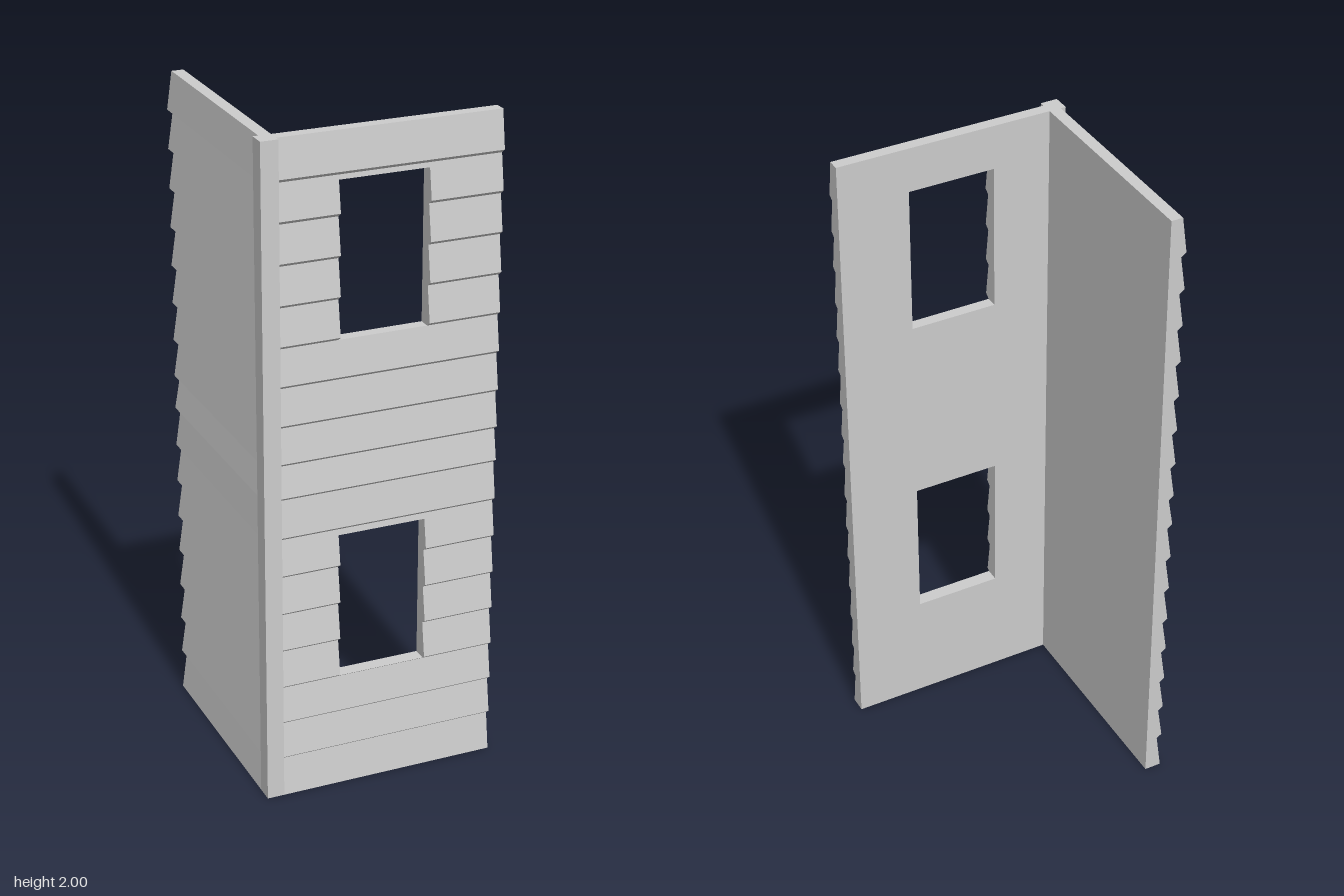
import * as THREE from 'three';

const OUT = 0.358;      // outer face of both walls
const INNER = 0.306;    // inner face of both walls
const RECESS = 0.342;   // face of a board at its tapered top
const HEIGHT = 2;
const LAP = 0.006;      // half height of the sloped underside of a board
const JOINTS = [0.122, 0.239, 0.356, 0.475, 0.593, 0.712, 0.831, 0.953,
  1.058, 1.173, 1.291, 1.408, 1.527, 1.646, 1.765, 1.882];

const material = new THREE.MeshStandardMaterial({ color: 0xcccccc, flatShading: true });

// Sawtooth outline of the lapped boards, as [depth, height], bottom to top
const sawtooth = [[OUT, 0]];
for (const y of JOINTS) sawtooth.push([RECESS, y - LAP], [OUT, y + LAP]);
sawtooth.push([RECESS, HEIGHT]);

// Depth of the siding at a given height
function depthAt(y) {
  const i = Math.max(1, sawtooth.findIndex((p) => p[1] >= y));
  const [a, b] = [sawtooth[i - 1], sawtooth[i]];
  return THREE.MathUtils.mapLinear(y, a[1], b[1], a[0], b[0]);
}

// Stretch of clad wall between two heights, running from z0 to z1
function cladding(name, y0, y1, z0, z1) {
  const outline = [
    [INNER, y0], [depthAt(y0), y0],
    ...sawtooth.filter((p) => p[1] > y0 && p[1] < y1),
    [depthAt(y1), y1], [INNER, y1],
  ].map((p) => new THREE.Vector2(...p));
  const geometry = new THREE.ExtrudeGeometry(new THREE.Shape(outline),
    { depth: z1 - z0, bevelEnabled: false });
  geometry.translate(0, 0, z0);
  const mesh = new THREE.Mesh(geometry, material);
  mesh.name = name;
  return mesh;
}

export function createModel() {
  const model = new THREE.Group();
  model.name = 'cladCornerWalls';

  // Front wall: full-height strips beside the windows, short pieces between them
  const front = new THREE.Group();
  front.name = 'frontWall';
  const left = 0.14, right = -0.128;
  front.add(
    cladding('leftSiding', 0, HEIGHT, -OUT, -left),
    cladding('rightSiding', 0, HEIGHT, -right, INNER),
    cladding('sidingBelowWindows', 0, 0.355, -left, -right),
    cladding('sidingBetweenWindows', 0.807, 1.402, -left, -right),
    cladding('sidingAboveWindows', 1.862, HEIGHT, -left, -right),
  );
  front.rotation.y = -Math.PI / 2;
  model.add(front);

  // Plain side wall
  const side = cladding('sideWall', 0, HEIGHT, -INNER, OUT);
  side.rotation.y = Math.PI;
  model.add(side);

  // Square post closing the corner
  const width = OUT - INNER;
  const post = new THREE.Mesh(new THREE.BoxGeometry(width, HEIGHT, width), material);
  post.name = 'cornerPost';
  post.position.set(-(OUT + INNER) / 2, HEIGHT / 2, (OUT + INNER) / 2);
  model.add(post);

  return model;
}
